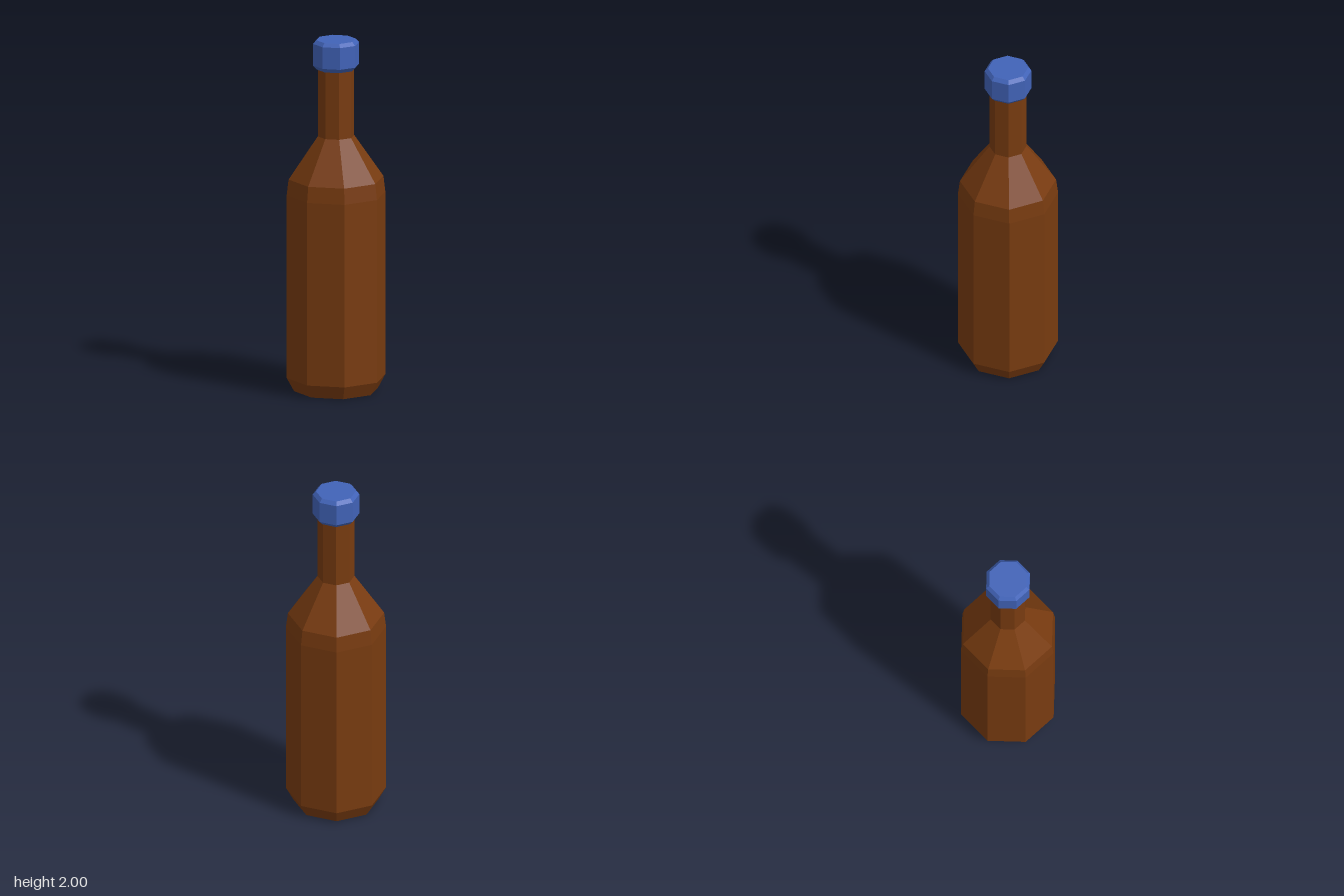
import * as THREE from 'three';

const SIDES = 8;

// Eight-sided turned part from [flat-to-centre distance, height] pairs, bottom to top
function turned(name, profile, material) {
  const toCorner = 1 / Math.cos(Math.PI / SIDES);
  const points = profile.map(([r, y]) => new THREE.Vector2(r * toCorner, y));
  const geometry = new THREE.LatheGeometry(points, SIDES, Math.PI / SIDES);
  const mesh = new THREE.Mesh(geometry, material);
  mesh.name = name;
  return mesh;
}

export function createModel() {
  const brownGlass = new THREE.MeshStandardMaterial({ color: 0x783b10, flatShading: true });
  brownGlass.name = 'brown glass';
  const blueCap = new THREE.MeshStandardMaterial({ color: 0x4163b8, flatShading: true });
  blueCap.name = 'blue cap';

  const group = new THREE.Group();
  group.name = 'bottle';

  // Base bevel, straight body, shoulder and neck
  group.add(turned('bottleBody', [
    [0, 0], [0.218, 0], [0.257, 0.077], [0.257, 1.12],
    [0.247, 1.21], [0.095, 1.45], [0.095, 1.84],
  ], brownGlass));

  // Cap with bevelled rims
  group.add(turned('cap', [
    [0, 1.832], [0.1, 1.832], [0.12, 1.856],
    [0.12, 1.98], [0.103, 2], [0, 2],
  ], blueCap));

  return group;
}
